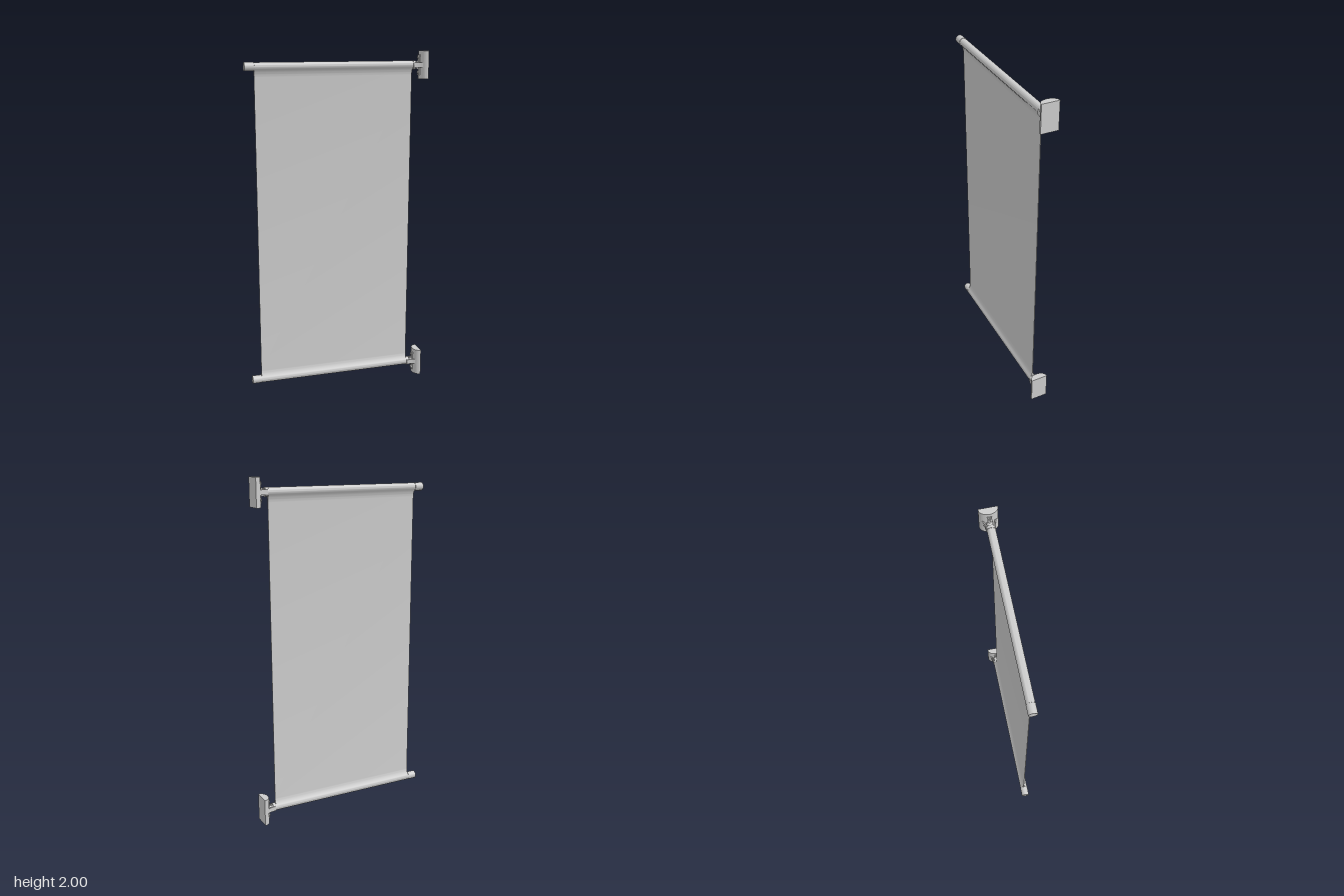
import * as THREE from 'three';
import { toCreasedNormals } from 'three/addons/utils/BufferGeometryUtils.js';

const material = new THREE.MeshStandardMaterial({ color: 0xcccccc, side: THREE.DoubleSide });
const POLE_Y = [0.082, 1.922];
const R = 0.0225;

function add(parent, name, geometry, x = 0, y = 0, z = 0) {
  const mesh = new THREE.Mesh(geometry, material);
  mesh.name = name;
  mesh.position.set(x, y, z);
  parent.add(mesh);
  return mesh;
}

// Cylinder lying along x, from x0 to x1
function rod(parent, name, x0, x1, r0, r1 = r0, y = 0, z = 0, sides = 32) {
  const g = new THREE.CylinderGeometry(r1, r0, x1 - x0, sides).rotateZ(-Math.PI / 2);
  return add(parent, name, g, (x0 + x1) / 2, y, z);
}

// Sheet whose ends swell into sleeves around both poles
function fabricGeometry(x0, x1) {
  const half = [];
  const end = [];
  for (let i = 0; i <= 12; i++) {
    const a = Math.PI / 2 - (i / 12) * (Math.PI / 2 + 0.35);
    end.push([Math.cos(a) * R, Math.sin(a) * R]);
  }
  // concave taper from sleeve to flat cloth
  const [sz, sy] = end[end.length - 1];
  for (let i = 1; i <= 8; i++) {
    const t = i / 8;
    end.push([0.0015 + (sz - 0.0015) * (1 - t) ** 2, sy - 0.05 * t]);
  }
  end.forEach(([z, y]) => half.push([z, POLE_Y[1] + y]));
  [...end].reverse().forEach(([z, y]) => half.push([z, POLE_Y[0] - y]));
  const mirrored = half.slice(1, -1).reverse().map(([z, y]) => [-z, y]);
  const shape = new THREE.Shape([...half, ...mirrored].map(([z, y]) => new THREE.Vector2(z, y)));
  const g = new THREE.ExtrudeGeometry(shape, { depth: x1 - x0, bevelEnabled: false });
  return toCreasedNormals(g.rotateY(Math.PI / 2).translate(x0, 0, 0), 0.6);
}

// Wall plate with a flat outer face and a half-round inner face
function plateGeometry() {
  const s = new THREE.Shape();
  s.moveTo(0.53, -0.05);
  s.lineTo(0.53, 0.05);
  s.absellipse(0.525, 0, 0.035, 0.05, Math.PI / 2, Math.PI * 1.5, false);
  s.closePath();
  const g = new THREE.ExtrudeGeometry(s, { depth: 0.16, bevelEnabled: false, curveSegments: 28 });
  return toCreasedNormals(g.rotateX(-Math.PI / 2).translate(0, -0.08, 0), 0.6);
}

// Curved arm that flares from the collar out to the plate
function armGeometry() {
  const s = new THREE.Shape();
  s.moveTo(0.452, 0.019);
  s.lineTo(0.452, 0.025);
  s.quadraticCurveTo(0.485, 0.026, 0.504, 0.039);
  s.lineTo(0.504, 0.031);
  s.quadraticCurveTo(0.485, 0.02, 0.452, 0.019);
  const g = new THREE.ExtrudeGeometry(s, { depth: 0.028, bevelEnabled: false, curveSegments: 10 });
  return toCreasedNormals(g.rotateX(-Math.PI / 2).translate(0, -0.014, 0), 0.6);
}

// Triangular rib above or below the socket
function ribGeometry() {
  const s = new THREE.Shape();
  s.moveTo(0.462, 0.014);
  s.lineTo(0.49, 0.014);
  s.lineTo(0.49, 0.034);
  s.quadraticCurveTo(0.483, 0.021, 0.462, 0.019);
  s.closePath();
  return new THREE.ExtrudeGeometry(s, { depth: 0.008, bevelEnabled: false }).translate(0, 0, -0.004);
}

function createBracket() {
  const bracket = new THREE.Group();
  add(bracket, 'mountingPlate', plateGeometry());
  rod(bracket, 'collar', 0.448, 0.464, 0.0255);
  rod(bracket, 'socket', 0.46, 0.495, 0.016, 0.017);
  add(bracket, 'flange', new THREE.BoxGeometry(0.009, 0.116, 0.026), 0.4905);
  for (const side of [1, -1]) {
    const turn = side > 0 ? 0 : Math.PI;
    add(bracket, 'flaredArm', armGeometry()).rotation.x = turn;
    add(bracket, 'rib', ribGeometry()).rotation.x = turn;
    rod(bracket, 'bolt', 0.48, 0.49, 0.007, 0.007, side * 0.043, 0, 12);
  }
  return bracket;
}

export function createModel() {
  const model = new THREE.Group();
  model.name = 'hangingBanner';
  add(model, 'fabric', fabricGeometry(-0.48, 0.445));

  for (const y of POLE_Y) {
    rod(model, 'pole', -0.53, 0.455, R - 0.001, R - 0.001, y);
    rod(model, 'poleEndCap', -0.535, -0.482, R + 0.001, R + 0.001, y);
    const bracket = createBracket();
    bracket.name = y > 1 ? 'upperBracket' : 'lowerBracket';
    bracket.position.y = y > 1 ? 1.92 : 0.08;
    model.add(bracket);
  }
  return model;
}
